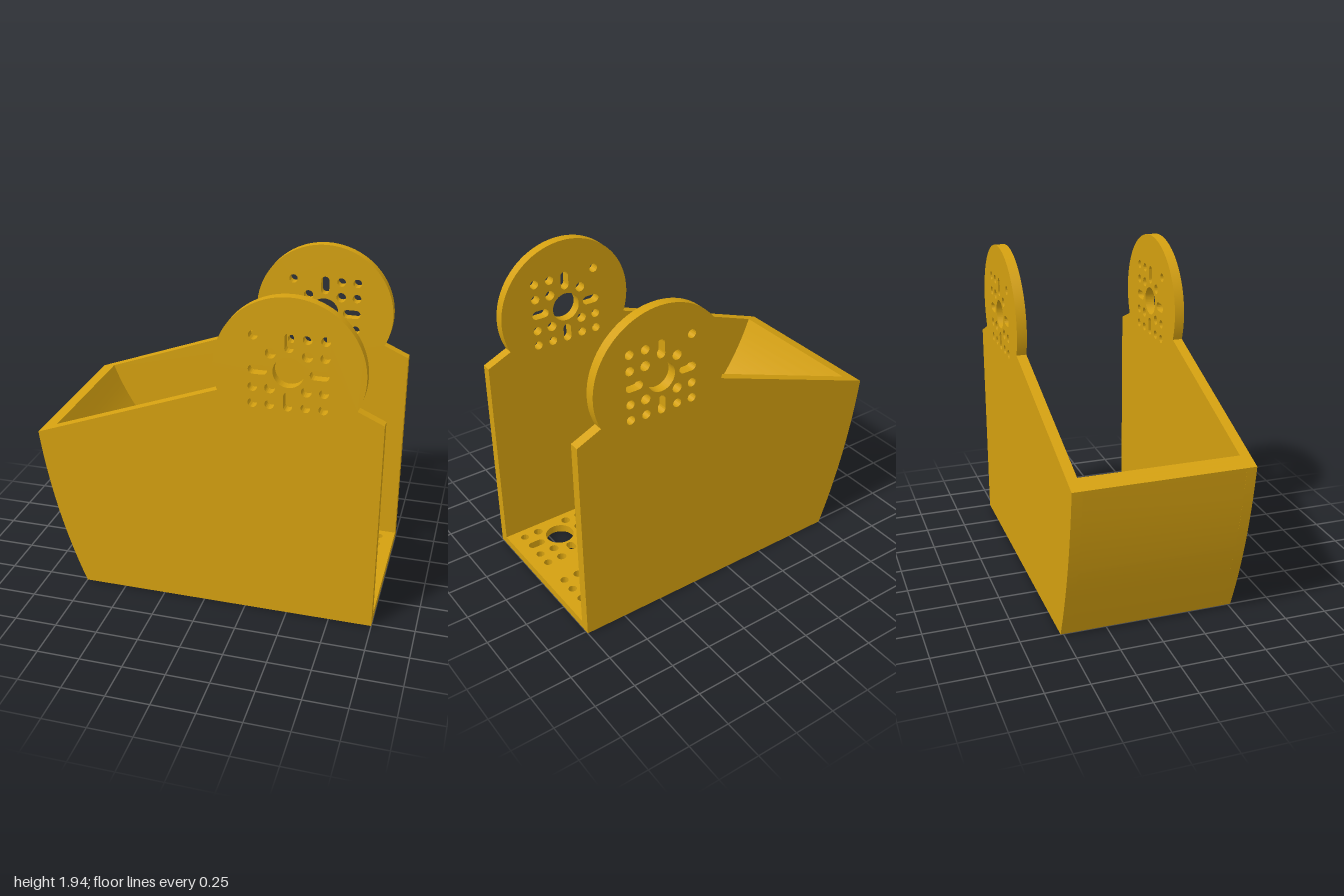
import * as THREE from 'three';
import { toCreasedNormals } from 'three/addons/utils/BufferGeometryUtils.js';

const OUT = 0.517, IN = 0.458; // outer and inner half width (z)

// Every hole is a rounded slot: core half sizes a, b plus radius r
const hole = (x, y, r, a = 0, b = 0) => ({ x, y, r, a, b });

// Front wall: bowed outer curve from the tip down to the floor
const tip = [-1, 0.98], bow = [-0.935, 0.45], toe = [-0.75, 0];
function bowY(x) {
  const t = (-0.13 + Math.sqrt(0.0169 + 0.48 * Math.max(0, x + 1))) / 0.24;
  return 0.98 * (1 - t) ** 2 + 0.9 * t * (1 - t);
}
const bottomY = x => (x >= toe[0] - 1e-6 ? 0 : bowY(x));
const topY = x => {
  if (x <= -0.905) return 0.98 + 0.366 * (x + 1); // sloping rim
  if (x >= 0.5) return 0.05; // flat floor
  return 1.555 - Math.sqrt(1.505 ** 2 - (x - 0.5) ** 2); // scooped ramp
};

function slotPath({ x, y, r, a, b }) {
  const p = new THREE.Path();
  const q = Math.PI / 2;
  [[1, 1], [-1, 1], [-1, -1], [1, -1]].forEach(([sx, sy], i) =>
    p.absarc(x + sx * a, y + sy * b, r, i * q, (i + 1) * q, false));
  p.closePath();
  return p;
}

// Side plate with round mounting ear
function plateGeometry() {
  const cx = 0.475, cy = 1.52;
  const s = new THREE.Shape();
  s.moveTo(...tip);
  s.quadraticCurveTo(...bow, ...toe);
  s.lineTo(1, 0);
  s.lineTo(1, 1.275);
  s.lineTo(0.855, 1.34);
  s.absarc(cx, cy, 0.418, -0.442, 3.493, false);
  s.closePath();

  const holes = [hole(cx, cy, 0.086)];
  for (const d of [-1, 1]) {
    holes.push(hole(cx + d * 0.168, cy, 0.026, 0.027, 0));
    holes.push(hole(cx, cy + d * 0.168, 0.025, 0, 0.03));
  }
  const rows = [
    [0.195, [-0.195, 0.098, 0.195]],
    [0.1, [-0.1, 0.1, 0.195]],
    [-0.1, [-0.195, -0.1, 0.1, 0.195]],
    [-0.195, [-0.195, -0.1, 0.098, 0.195]],
  ];
  for (const [dy, xs] of rows) {
    for (const dx of xs) {
      const r = Math.abs(dx) < 0.15 && Math.abs(dy) < 0.15 ? 0.029 : 0.026;
      holes.push(hole(cx + dx, cy + dy, r));
    }
  }
  s.holes = holes.map(slotPath);
  const g = new THREE.ExtrudeGeometry(s, { depth: OUT - IN, bevelEnabled: false, curveSegments: 40 });
  return toCreasedNormals(g, 0.5);
}

// Hole clusters in the floor; y of a hole stands for z here
function floorHoles() {
  const list = [];
  for (const cx of [-0.46, 0.71]) {
    for (const m of [-1, 1]) {
      const cz = m * 0.293;
      list.push(hole(cx, cz, 0.087));
      list.push(hole(cx, m * 0.152, 0.026, 0, 0.01));
      for (const d of [-1, 1]) list.push(hole(cx + d * 0.165, cz, 0.026, 0.027, 0));
      for (const dz of [-0.195, -0.1, 0.098]) {
        for (const dx of [-0.195, -0.1, 0.1, 0.195]) {
          list.push(hole(cx + dx, cz + m * dz, Math.abs(dx) < 0.15 ? 0.028 : 0.025));
        }
      }
    }
  }
  return list;
}

// Floor and front wall: slabs between x stations, each cut around the holes
function trayGeometry() {
  const holes = floorHoles();
  const pos = [];
  const tri = (...p) => {
    const [a, b, c] = p.map(v => new THREE.Vector3(...v));
    if (b.clone().sub(a).cross(c.clone().sub(a)).length() > 1e-9) pos.push(...p.flat());
  };
  const quad = (a, b, c, d) => { tri(a, b, c); tri(a, c, d); };
  const T = (x, z) => [x, topY(x), z];
  const B = (x, z) => [x, bottomY(x), z];

  // Stations: the ramp, the bowed wall and the rims of all holes
  let xs = [-0.905, toe[0]];
  for (let i = 0; i <= 80; i++) xs.push(-1 + i / 40);
  for (const h of holes) {
    for (let k = 0; k <= 8; k++) {
      const d = h.a + h.r * Math.cos(k * Math.PI / 16);
      xs.push(h.x - d, h.x + d);
    }
  }
  xs = xs.sort((a, b) => a - b).filter((x, i, all) => i === 0 || x - all[i - 1] > 1e-6);

  const half = (h, x) => {
    const d = Math.max(0, Math.abs(x - h.x) - h.a);
    return h.b + Math.sqrt(Math.max(0, h.r * h.r - d * d));
  };
  for (let i = 0; i + 1 < xs.length; i++) {
    const x0 = xs[i], x1 = xs[i + 1], mid = (x0 + x1) / 2;
    const cut = holes.filter(h => Math.abs(mid - h.x) < h.a + h.r).sort((p, q) => p.y - q.y);
    let lo = [-IN, -IN];
    for (const h of [...cut, null]) {
      const hi = h ? [h.y - half(h, x0), h.y - half(h, x1)] : [IN, IN];
      quad(T(x0, lo[0]), T(x0, hi[0]), T(x1, hi[1]), T(x1, lo[1]));
      quad(B(x0, lo[0]), B(x1, lo[1]), B(x1, hi[1]), B(x0, hi[0]));
      if (!h) break;
      lo = [h.y + half(h, x0), h.y + half(h, x1)];
      quad(B(x0, hi[0]), B(x1, hi[1]), T(x1, hi[1]), T(x0, hi[0]));
      quad(B(x1, lo[1]), B(x0, lo[0]), T(x0, lo[0]), T(x1, lo[1]));
    }
  }
  // Straight sides of the crosswise slots
  for (const h of holes.filter(k => k.b > 0)) {
    const l = h.x - h.r, r = h.x + h.r, p = h.y + h.b, n = h.y - h.b;
    quad(B(l, p), B(l, n), T(l, n), T(l, p));
    quad(B(r, n), B(r, p), T(r, p), T(r, n));
  }
  // Open end of the floor
  quad(B(1, IN), B(1, -IN), T(1, -IN), T(1, IN));

  const g = new THREE.BufferGeometry();
  g.setAttribute('position', new THREE.Float32BufferAttribute(pos, 3));
  return toCreasedNormals(g, 0.5);
}

export function createModel() {
  const ochre = new THREE.MeshStandardMaterial({ color: 0xd4a010 });
  ochre.name = 'ochre';
  const model = new THREE.Group();
  model.name = 'motorBracket';

  const plate = plateGeometry();
  for (const [name, z] of [['frontSidePlate', IN], ['backSidePlate', -OUT]]) {
    const mesh = new THREE.Mesh(plate, ochre);
    mesh.name = name;
    mesh.position.z = z;
    model.add(mesh);
  }
  const tray = new THREE.Mesh(trayGeometry(), ochre);
  tray.name = 'floorAndRamp';
  model.add(tray);
  return model;
}
